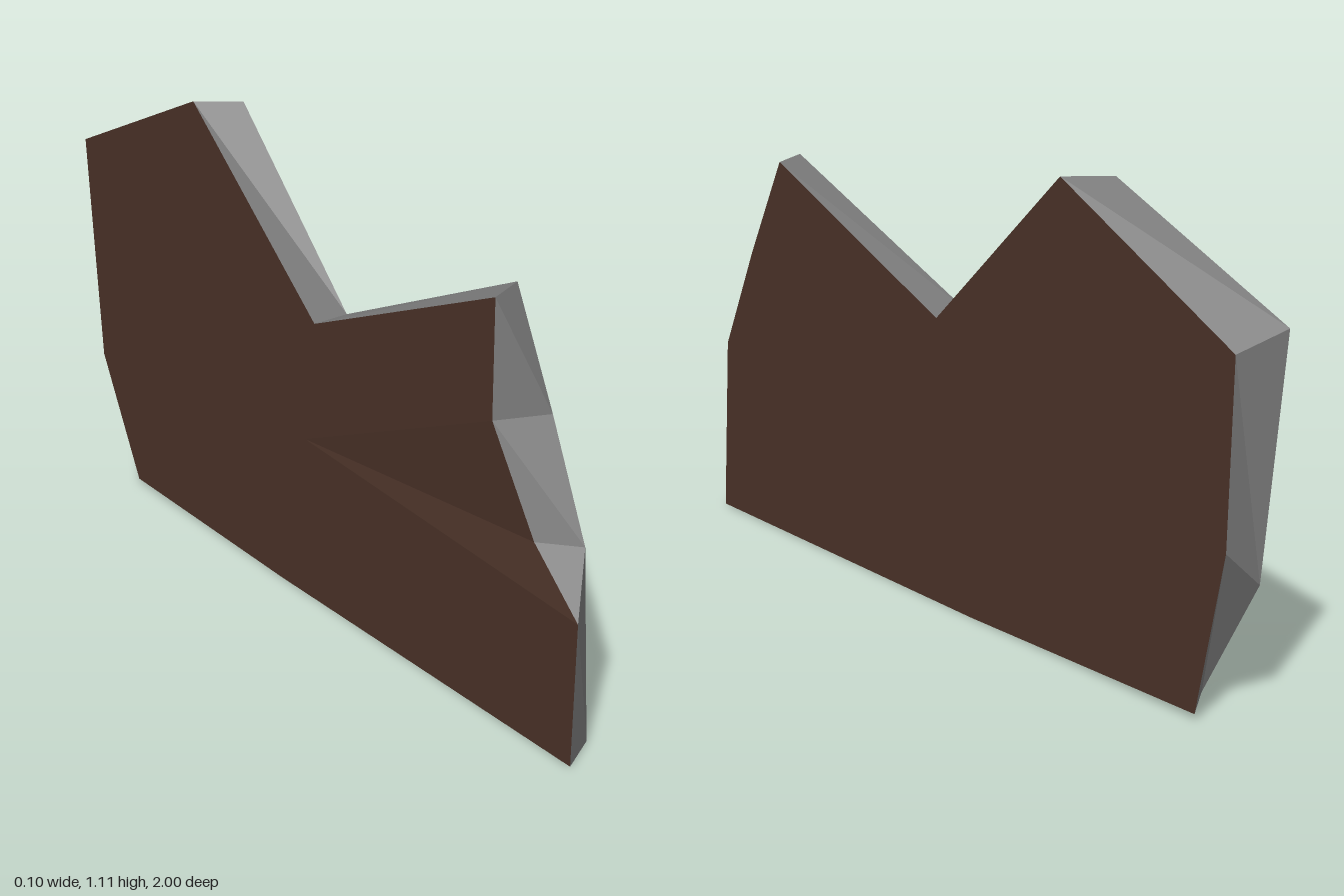
import * as THREE from 'three';

// Matching outline points as [x, y, z], front bottom -> over the top -> underside
const R = 0.047, L = -0.05;
const outline = [
  { a: [R, 0.003, 0.93], b: [L, 0.003, 0.993] },   // front foot
  { a: [R, 0.45, 0.90], b: [L, 0.34, 1.0] },       // front lip
  { a: [R, 0.45, 0.90], b: [-0.025, 0.45, 0.82] }, // chipped notch
  { a: [R, 0.71, 0.78], b: [L, 0.69, 0.70] },
  { a: [R, 0.965, 0.65], b: [L, 0.965, 0.70] },    // front peak
  { a: [R, 0.70, 0.03], b: [L, 0.70, 0.04] },      // valley
  { a: [R, 1.105, -0.40], b: [L, 1.105, -0.47] },  // rear peak
  { a: [R, 0.83, -0.945], b: [L, 0.88, -1.0] },    // rear shoulder
  { a: [R, 0.40, -0.935], b: [L, 0.31, -0.94] },
  { a: [R, 0.015, -0.855], b: [L, 0.012, -0.775] },// rear foot
  { a: [R, 0, -0.10], b: [L, 0, -0.10] },
];

// Non-indexed geometry from a list of corner points, for crisp facets
function facets(points) {
  const geometry = new THREE.BufferGeometry();
  geometry.setAttribute('position', new THREE.Float32BufferAttribute(points.flat(), 3));
  geometry.computeVertexNormals();
  return geometry;
}

export function createModel() {
  const brown = new THREE.MeshStandardMaterial({ color: 0x4a3228 });
  brown.name = 'dark brown';
  const grey = new THREE.MeshStandardMaterial({ color: 0x7a7a7a });
  grey.name = 'grey';

  const leftFace = [], rightFace = [], rim = [];
  outline.forEach((p, i) => {
    const q = outline[(i + 1) % outline.length];
    leftFace.push([R, 0.4, 0], q.a, p.a);
    rightFace.push([L, 0.4, 0], p.b, q.b);
    rim.push(p.a, q.b, p.b, p.a, q.a, q.b);
  });

  const group = new THREE.Group();
  group.name = 'brokenPanel';
  const add = (name, points, material) => {
    const mesh = new THREE.Mesh(facets(points), material);
    mesh.name = name;
    group.add(mesh);
  };
  add('leftFace', leftFace, brown);
  add('rightFace', rightFace, brown);
  add('brokenRim', rim, grey);
  return group;
}
